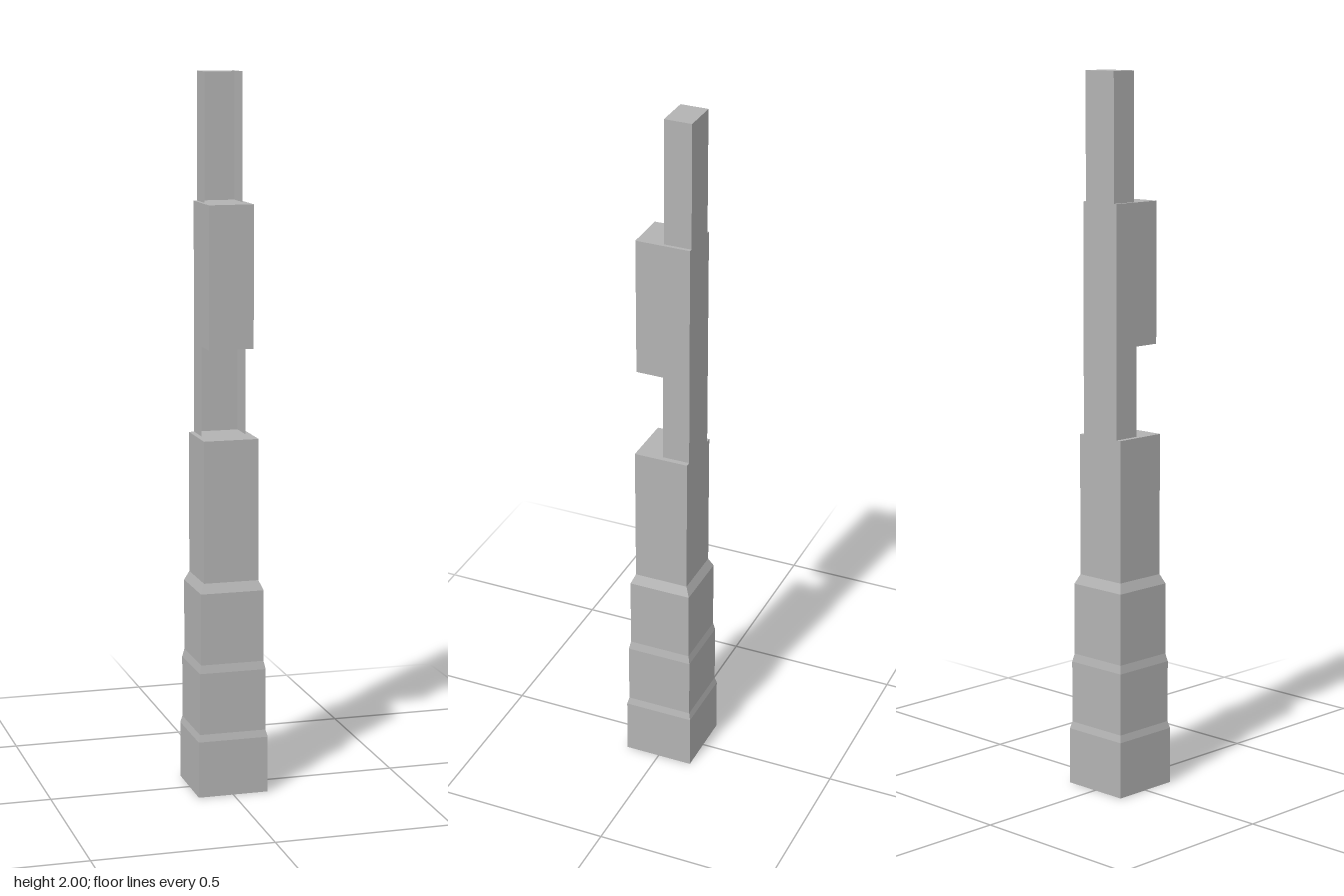
import * as THREE from 'three';

const stone = new THREE.MeshStandardMaterial({ color: 0xb3b3b3, side: THREE.DoubleSide, flatShading: true });
stone.name = 'grey';

const HALF = 0.078; // half depth of the shaft

function add(parent, name, geometry, x = 0, y = 0, z = 0) {
  const mesh = new THREE.Mesh(geometry, stone);
  mesh.name = name;
  mesh.position.set(x, y, z);
  parent.add(mesh);
  return mesh;
}

// Half-depth channel: back and two side walls, open at the front
function channel(name, halfWidth, y0, y1) {
  const group = new THREE.Group();
  group.name = name;
  const h = y1 - y0, y = (y0 + y1) / 2;
  add(group, 'backWall', new THREE.PlaneGeometry(halfWidth * 2, h).rotateY(Math.PI), 0, y, -HALF);
  for (const s of [-1, 1]) {
    add(group, s > 0 ? 'leftWall' : 'rightWall',
      new THREE.PlaneGeometry(HALF, h).rotateY(s * Math.PI / 2), s * halfWidth, y, -HALF / 2);
  }
  return group;
}

export function createModel() {
  const model = new THREE.Group();
  model.name = 'tower';

  // Stepped square base, open underneath: [half width, height]
  const profile = [
    [0.1, 0], [0.1, 0.16], [0.095, 0.18], [0.095, 0.355],
    [0.09, 0.378], [0.09, 0.58], [HALF, 0.607], [HALF, 1.005],
  ].map(([r, y]) => new THREE.Vector2(r * Math.SQRT2, y));
  add(model, 'steppedBase', new THREE.LatheGeometry(profile, 4, Math.PI / 4));
  add(model, 'baseRoof', new THREE.PlaneGeometry(HALF * 2, HALF * 2).rotateX(-Math.PI / 2), 0, 1.005, 0);

  // Recessed neck, overhanging block and recessed spire
  model.add(channel('neck', 0.063, 1.005, 1.255));
  add(model, 'upperBlock', new THREE.BoxGeometry(0.126, 0.393, HALF * 2), 0, 1.4515, 0);
  model.add(channel('spire', 0.053, 1.648, 2));
  add(model, 'spireRoof', new THREE.PlaneGeometry(0.106, HALF).rotateX(-Math.PI / 2), 0, 2, -HALF / 2);

  return model;
}
